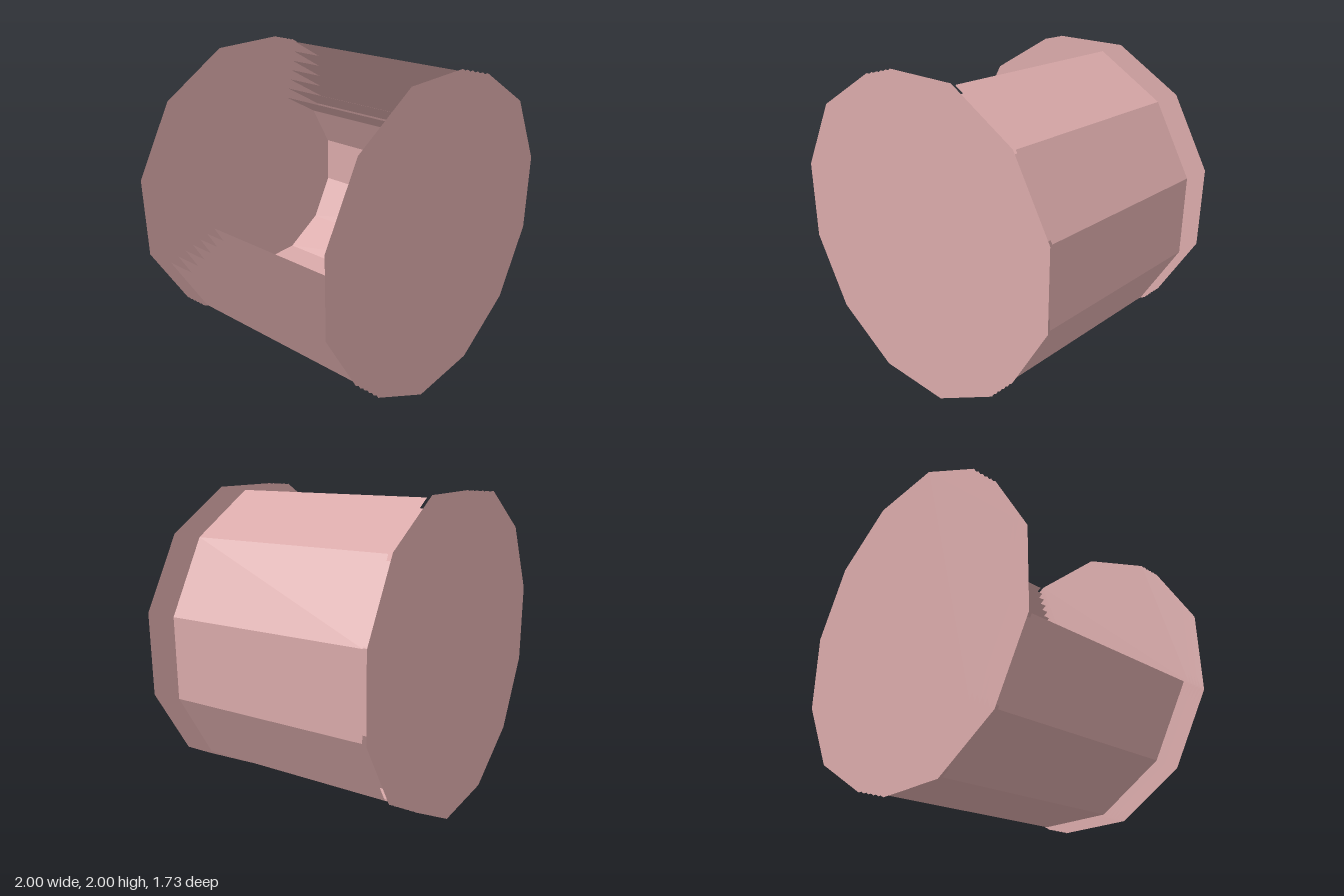
import * as THREE from 'three';

const CENTRE_Y = 1;
const SIDES = 12;
const TO_RADIUS = 1 / Math.cos(Math.PI / SIDES); // flat-to-centre distance -> corner radius

const material = new THREE.MeshStandardMaterial({
  color: 0xd9a9a9, flatShading: true, side: THREE.DoubleSide,
});

// Twelve-sided thin sheet with a round hole in the middle
function discGeometry(apothem, holeRadius) {
  const points = [];
  for (let i = 0; i < SIDES; i++) {
    const a = ((i + 0.5) / SIDES) * Math.PI * 2;
    points.push(new THREE.Vector2(Math.cos(a), Math.sin(a)).multiplyScalar(apothem * TO_RADIUS));
  }
  const shape = new THREE.Shape(points);
  shape.holes.push(new THREE.Path().absarc(0, 0, holeRadius, 0, Math.PI * 2, true));
  return new THREE.ShapeGeometry(shape, 12);
}

// Eight flat panels of a twelve-sided tube, open at the upper -x side
function shellGeometry(apothem, length) {
  const r = apothem * TO_RADIUS;
  const start = THREE.MathUtils.degToRad(-75);
  const sweep = THREE.MathUtils.degToRad(240);
  return new THREE.CylinderGeometry(r, r, length, 8, 1, true, start, sweep).rotateX(Math.PI / 2);
}

export function createModel() {
  const model = new THREE.Group();
  model.name = 'layeredDrum';

  // End covers: six spaced sheets at each end
  const disc = discGeometry(1, 0.075);
  for (const side of [1, -1]) {
    const cover = new THREE.Group();
    cover.name = side > 0 ? 'frontCover' : 'backCover';
    for (let i = 0; i < 6; i++) {
      const sheet = new THREE.Mesh(disc, material);
      sheet.name = 'coverSheet';
      sheet.position.set(0, CENTRE_Y, side * (0.7 + i / 30));
      if (side < 0) sheet.rotation.y = Math.PI;
      cover.add(sheet);
    }
    model.add(cover);
  }

  // Wall: seven nested shells
  const wall = new THREE.Group();
  wall.name = 'wall';
  for (let i = 0; i < 7; i++) {
    const shell = new THREE.Mesh(shellGeometry(0.985 - i * 0.064, 1.333), material);
    shell.name = 'wallShell';
    shell.position.y = CENTRE_Y;
    wall.add(shell);
  }
  model.add(wall);

  return model;
}
